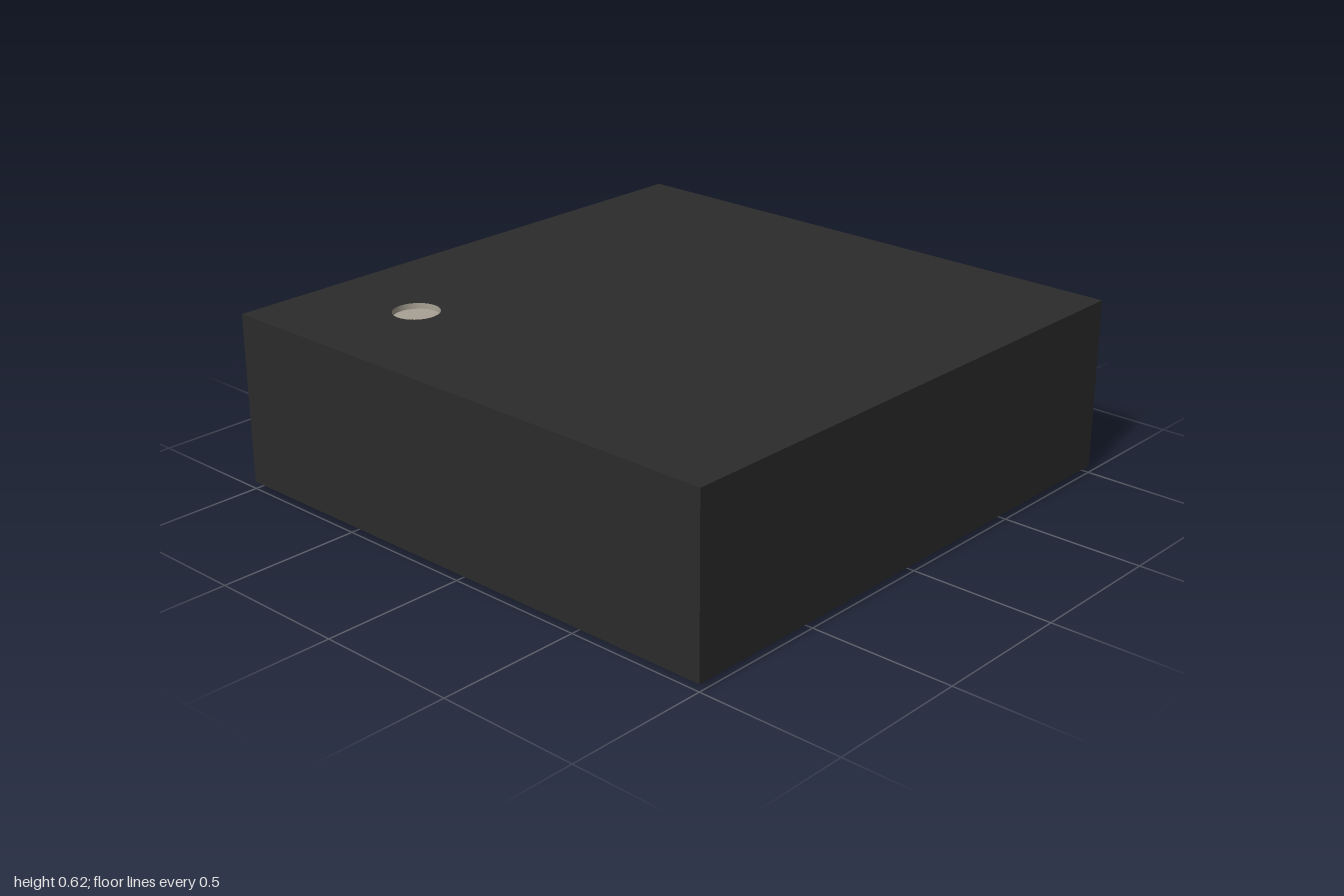
import * as THREE from 'three';

const BOTTOM = 0.025, TOP = 0.625, HALF = 1;
const MARK = { x: -0.6, z: -0.6, r: 0.08, depth: 0.02 };

export function createModel() {
  const model = new THREE.Group();
  const black = new THREE.MeshStandardMaterial({ color: 0x2b2b2b });
  const metal = new THREE.MeshStandardMaterial({ color: 0xa8a294 });
  const metalInside = new THREE.MeshStandardMaterial({ color: 0xa8a294, side: THREE.BackSide });

  const add = (name, geometry, material, x, y, z, parent = model) => {
    const mesh = new THREE.Mesh(geometry, material);
    mesh.name = name;
    mesh.position.set(x, y, z);
    parent.add(mesh);
    return mesh;
  };

  // Package body: box without its top face (third face, indices 12 to 17)
  const body = new THREE.Group();
  body.name = 'packageBody';
  model.add(body);
  const shell = new THREE.BoxGeometry(2 * HALF, TOP - BOTTOM, 2 * HALF);
  shell.setIndex(Array.from(shell.index.array).filter((_, i) => i < 12 || i >= 18));
  shell.clearGroups();
  add('bodyShell', shell, black, 0, (TOP + BOTTOM) / 2, 0, body);

  // Top face with a round opening for the pin-one mark
  const face = new THREE.Shape([
    new THREE.Vector2(-HALF, -HALF), new THREE.Vector2(HALF, -HALF),
    new THREE.Vector2(HALF, HALF), new THREE.Vector2(-HALF, HALF),
  ]);
  face.holes.push(new THREE.Path().absarc(MARK.x, -MARK.z, MARK.r, 0, Math.PI * 2, true));
  add('topFace', new THREE.ShapeGeometry(face, 24).rotateX(-Math.PI / 2), black, 0, TOP, 0, body);

  // Sunken pin-one mark: floor disc and inward-facing wall
  const mark = new THREE.Group();
  mark.name = 'pinOneMark';
  model.add(mark);
  add('markFloor', new THREE.CircleGeometry(MARK.r, 48).rotateX(-Math.PI / 2), metal,
    MARK.x, TOP - MARK.depth, MARK.z, mark);
  add('markWall', new THREE.CylinderGeometry(MARK.r, MARK.r, MARK.depth, 48, 1, true), metalInside,
    MARK.x, TOP - MARK.depth / 2, MARK.z, mark);

  // Two rows of four contact pads under the body
  const pad = new THREE.BoxGeometry(0.2, BOTTOM, 0.4);
  for (const [row, z] of [['front', 0.72], ['back', -0.72]]) {
    for (let i = 0; i < 4; i++) {
      add(`${row}Pad${i + 1}`, pad, metal, -0.78 + i * 0.52, BOTTOM / 2, z);
    }
  }
  return model;
}
